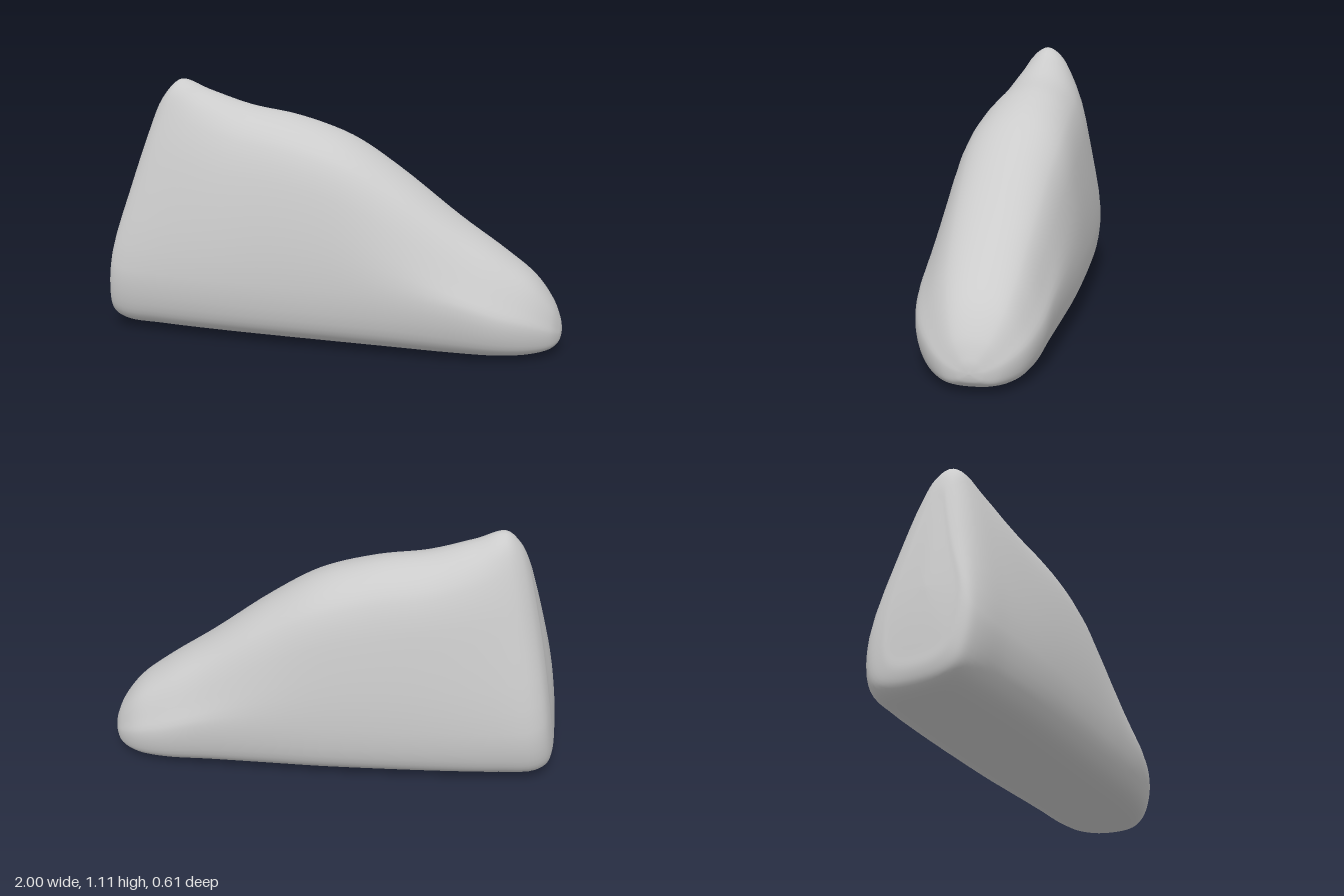
import * as THREE from 'three';
import { mergeVertices } from 'three/addons/utils/BufferGeometryUtils.js';

// Stations along the rock:
// x, bottom, top, front width, back width, front shoulder, back shoulder, ridge z, side taper
const STATIONS = [
  [-1.005, 0.09, 0.98, 0.175, -0.175, 0.03, -0.085, -0.03, 0.56],
  [-0.982, 0.04, 1.06, 0.21, -0.24, 0.05, -0.115, -0.035, 0.56],
  [-0.92, 0.015, 1.108, 0.233, -0.28, 0.07, -0.145, -0.035, 0.52],
  [-0.75, 0.010, 1.065, 0.255, -0.3, 0.11, -0.19, -0.035, 0.45],
  [-0.50, 0.008, 1.005, 0.28, -0.308, 0.15, -0.22, -0.04, 0.38],
  [-0.22, 0.006, 0.965, 0.292, -0.306, 0.18, -0.225, -0.04, 0.33],
  [0.06, 0.004, 0.89, 0.298, -0.298, 0.195, -0.22, -0.03, 0.31],
  [0.28, 0.003, 0.76, 0.304, -0.283, 0.19, -0.195, -0.02, 0.31],
  [0.55, 0.002, 0.56, 0.30, -0.257, 0.175, -0.165, -0.01, 0.33],
  [0.75, 0.003, 0.425, 0.262, -0.233, 0.15, -0.145, 0, 0.33],
  [0.88, 0.010, 0.325, 0.195, -0.19, 0.115, -0.12, 0.005, 0.33],
  [0.96, 0.028, 0.22, 0.12, -0.12, 0.075, -0.075, 0.005, 0.33],
  [0.99, 0.052, 0.15, 0.06, -0.06, 0.036, -0.036, 0, 0.33],
];
const AROUND = 56, STEPS = 5;

// One closed cross-section, shrunk towards its middle by s to close the ends
function ring([x, y0, y1, front, back, shoulderF, shoulderB, ridge, taper], s = 1) {
  const h = y1 - y0;
  const k = Math.min(1 / h, 1.6); // keeps the bottom rounding even along the length
  const side = (w, t) => [
    [w * 0.52, 0.013 * k], [w * 0.79, 0.046 * k], [w * 0.93, 0.11 * k], [w, 0.28 * k],
    [w + (t - w) * taper, 0.62], [t, 0.87], [ridge + (t - ridge) * 0.57, 0.965],
  ];
  const outline = [[0, 0], ...side(front, shoulderF), [ridge, 1], ...side(back, shoulderB).reverse()];
  const curve = new THREE.CatmullRomCurve3(
    outline.map(([z, v]) => new THREE.Vector3(0, y0 + v * h, z)), true);
  const mid = y0 + h * 0.4;
  return Array.from({ length: AROUND }, (_, j) => {
    const p = curve.getPoint(j / AROUND);
    const y = mid + (p.y - mid) * s, z = p.z * s;
    // Lean and skew the steep end
    const f = THREE.MathUtils.clamp((0.1 - x) / 1.1, 0, 1);
    return new THREE.Vector3(x + 0.19 * Math.max(y, 0) ** 1.5 * f + 0.12 * (0.13 - z) * f ** 3, y, z);
  });
}

function rockGeometry() {
  const first = STATIONS[0], last = STATIONS[STATIONS.length - 1];
  const rings = [
    ...[0, 0.4, 0.8].map((s) => ring([first[0] - 0.01 * (1 - s), ...first.slice(1)], s)),
    ...STATIONS.map((row) => ring(row)),
    ...[0.55, 0].map((s) => ring([last[0] + 0.01 * (1 - s * s), ...last.slice(1)], s)),
  ];
  // Smooth lines running lengthwise through matching ring points
  const rows = (rings.length - 1) * STEPS;
  const lines = rings[0].map((_, j) => new THREE.CatmullRomCurve3(rings.map((r) => r[j])));
  const positions = [], index = [];
  for (let i = 0; i <= rows; i++) {
    for (const line of lines) positions.push(...line.getPoint(i / rows).toArray());
  }
  for (let i = 0; i < rows; i++) {
    for (let j = 0; j < AROUND; j++) {
      const k = (j + 1) % AROUND;
      const a = i * AROUND + j, b = a + AROUND, c = i * AROUND + k, d = c + AROUND;
      index.push(a, b, d, a, d, c);
    }
  }
  let geometry = new THREE.BufferGeometry();
  geometry.setAttribute('position', new THREE.Float32BufferAttribute(positions, 3));
  geometry.setIndex(index);
  geometry = mergeVertices(geometry, 1e-5);
  geometry.computeVertexNormals();
  return geometry;
}

export function createModel() {
  const group = new THREE.Group();
  group.name = 'wedgeRock';
  const rock = new THREE.Mesh(rockGeometry(), new THREE.MeshStandardMaterial({ color: 0xcccccc }));
  rock.name = 'rock';
  group.add(rock);
  return group;
}
